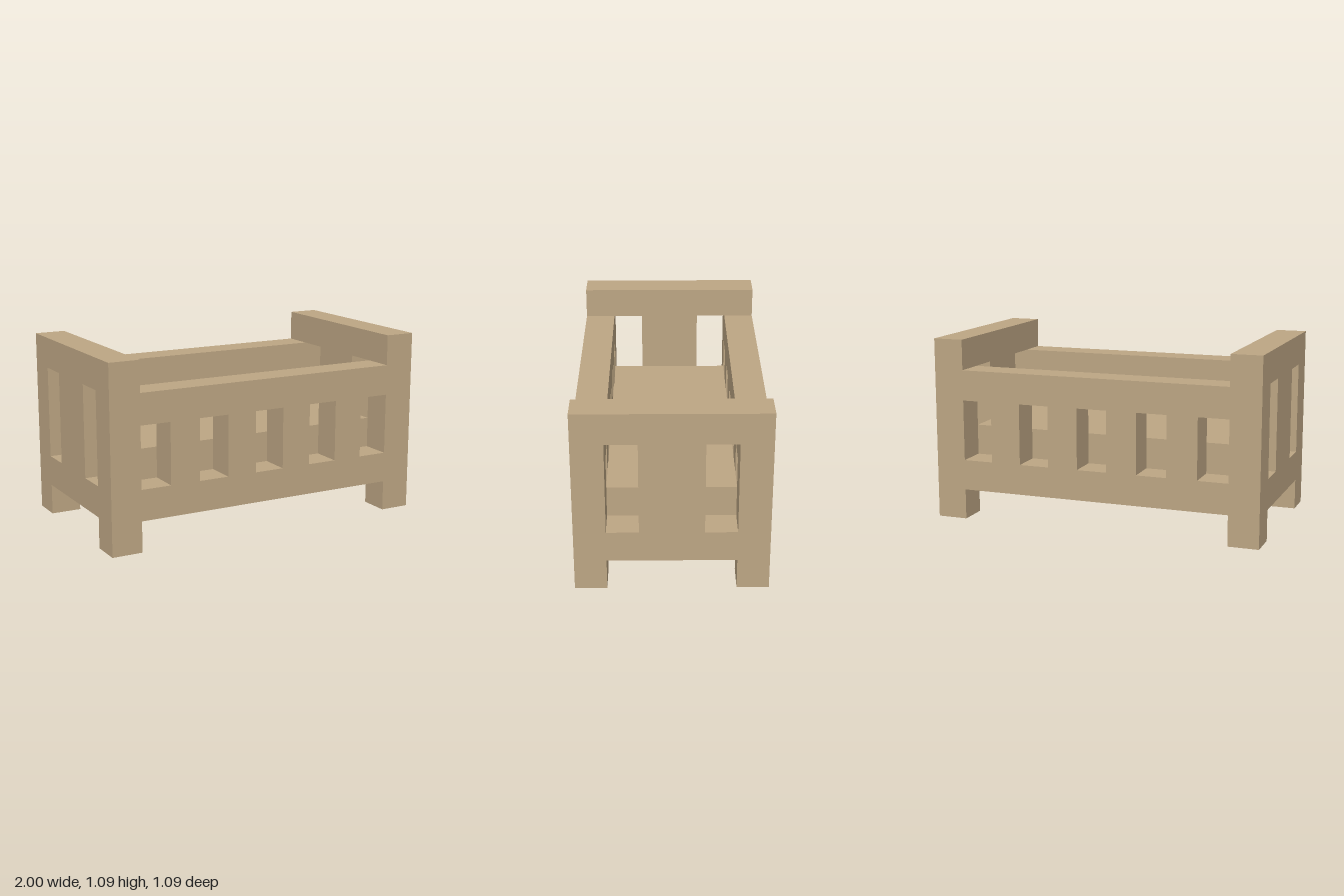
import * as THREE from 'three';

// The whole bed sits on a grid of square cells: 11 long, 6 wide, 6 high.
const U = 2 / 11;

const points = (list) => list.map(([x, y]) => new THREE.Vector2(x * U, y * U));

// Plate one cell thick, cut from an outline with rectangular openings [x0, y0, x1, y1].
function plate(outline, openings) {
  const shape = new THREE.Shape(points(outline));
  for (const [x0, y0, x1, y1] of openings) {
    shape.holes.push(new THREE.Path(points([[x0, y0], [x0, y1], [x1, y1], [x1, y0]])));
  }
  const geometry = new THREE.ExtrudeGeometry(shape, { depth: U, bevelEnabled: false });
  return geometry.translate(0, 0, -U / 2);
}

export function createModel() {
  const bed = new THREE.Group();
  bed.name = 'bed';
  const wood = new THREE.MeshStandardMaterial({ color: 0xbda684 });
  wood.name = 'light wood';

  const add = (name, geometry, x, y, z) => {
    const mesh = new THREE.Mesh(geometry, wood);
    mesh.name = name;
    mesh.position.set(x * U, y * U, z * U);
    bed.add(mesh);
  };

  // End boards with two legs and two tall openings
  const endBoard = plate(
    [[-3, 0], [-2, 0], [-2, 1], [2, 1], [2, 0], [3, 0], [3, 6], [-3, 6]],
    [[-2, 2, -1, 5], [1, 2, 2, 5]]
  ).rotateY(Math.PI / 2);
  add('leftEndBoard', endBoard, 5, 0, 0);
  add('rightEndBoard', endBoard, -5, 0, 0);

  // Side rails: three openings, plus a notch at each end that the end board closes
  const sideRail = plate(
    [[-4.5, 1], [4.5, 1], [4.5, 2], [3.5, 2], [3.5, 4], [4.5, 4],
      [4.5, 5], [-4.5, 5], [-4.5, 4], [-3.5, 4], [-3.5, 2], [-4.5, 2]],
    [-2, 0, 2].map((x) => [x - 0.5, 2, x + 0.5, 4])
  );
  add('frontRail', sideRail, 0, 0, 2.5);
  add('backRail', sideRail, 0, 0, -2.5);

  // Solid bed base between the boards
  add('bedBase', new THREE.BoxGeometry(9 * U, 2 * U, 4 * U), 0, 2, 0);

  return bed;
}
